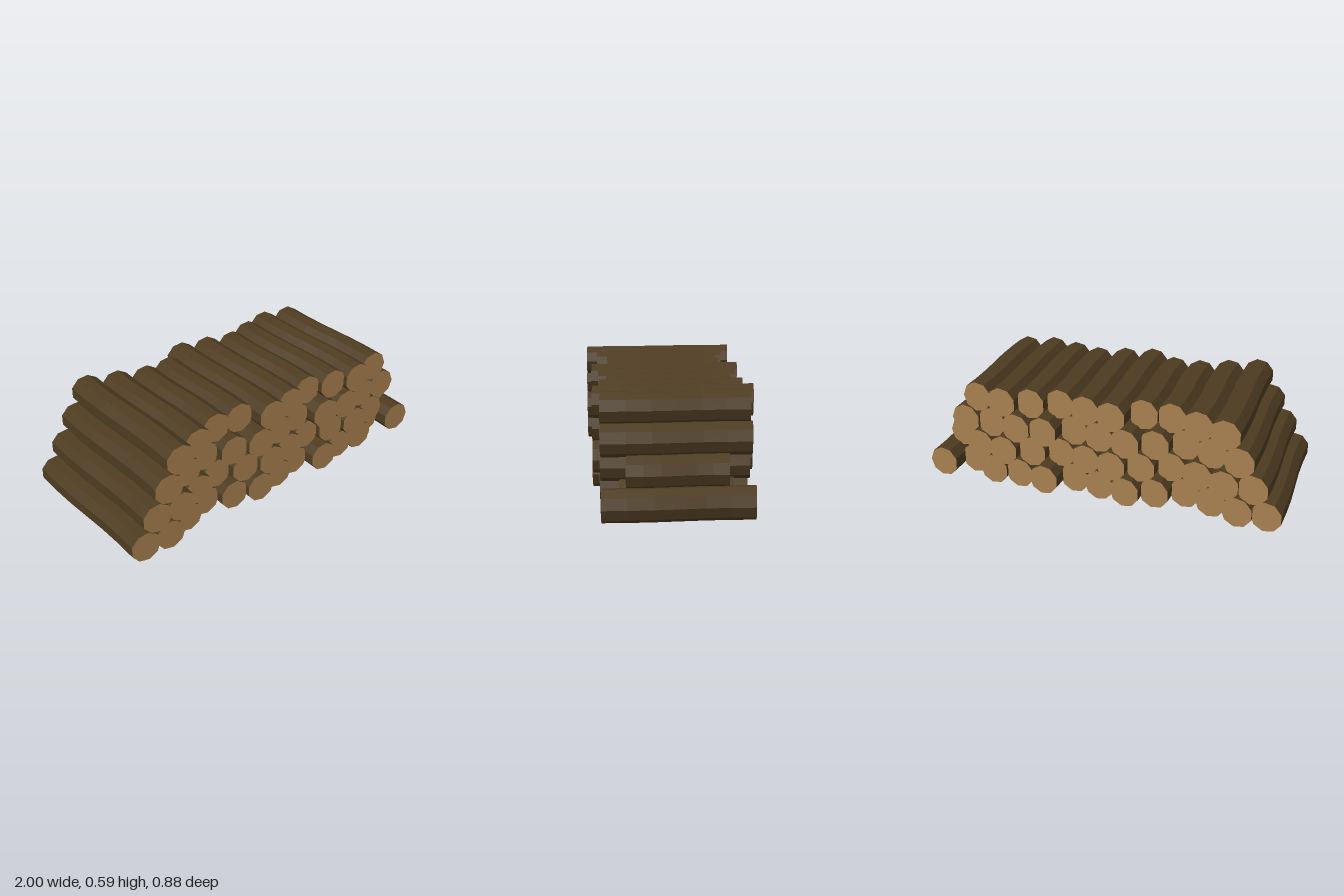
import * as THREE from 'three';

const RADIUS = 0.084, SPACING = 0.1525, ROW_RISE = 0.141;

// Half length of every log, row by row from the bottom, right to left (-x to +x)
const ROWS = [
  [0.43, 0.43, 0.37, 0.315, 0.37, 0.405, 0.37, 0.33, 0.405, 0.37, 0.37, 0.28, 0.37],
  [0.43, 0.43, 0.37, 0.315, 0.37, 0.405, 0.37, 0.33, 0.37, 0.405, 0.37, 0.25],
  [0.43, 0.37, 0.315, 0.37, 0.405, 0.37, 0.33, 0.405, 0.405, 0.37, 0.37],
  [0.43, 0.37, 0.315, 0.315, 0.405, 0.37, 0.33, 0.37, 0.405, 0.37],
];

// Nine-sided log along z, gently waved sideways, with slanted sawn ends
function logGeometry(half) {
  const g = new THREE.CylinderGeometry(RADIUS, RADIUS, 2, 9, 6, false, Math.PI / 2);
  g.rotateX(Math.PI / 2);
  const p = g.attributes.position;
  for (let i = 0; i < p.count; i++) {
    const x = p.getX(i), t = p.getZ(i);
    const slant = t < 0 ? 0.12 : 0.07;
    p.setX(i, x + 0.006 * Math.sin(Math.PI * t));
    p.setZ(i, t * half + x * slant * Math.abs(t));
  }
  g.computeVertexNormals();
  return g;
}

export function createModel() {
  const model = new THREE.Group();
  model.name = 'logPile';
  const bark = new THREE.MeshStandardMaterial({ color: 0x4d3b20, flatShading: true });
  const cutWood = new THREE.MeshStandardMaterial({ color: 0xa88050, flatShading: true });
  const geometries = new Map();

  // Rows stacked in the hollows of the row below
  ROWS.forEach((lengths, r) => {
    const row = new THREE.Group();
    row.name = `logRow${r + 1}`;
    row.position.y = RADIUS * Math.cos(Math.PI / 18) + r * ROW_RISE;
    lengths.forEach((half, i) => {
      if (!geometries.has(half)) geometries.set(half, logGeometry(half));
      const log = new THREE.Mesh(geometries.get(half), [bark, cutWood, cutWood]);
      log.name = 'log';
      log.position.x = (i - (lengths.length - 1) / 2) * SPACING;
      row.add(log);
    });
    model.add(row);
  });
  return model;
}
